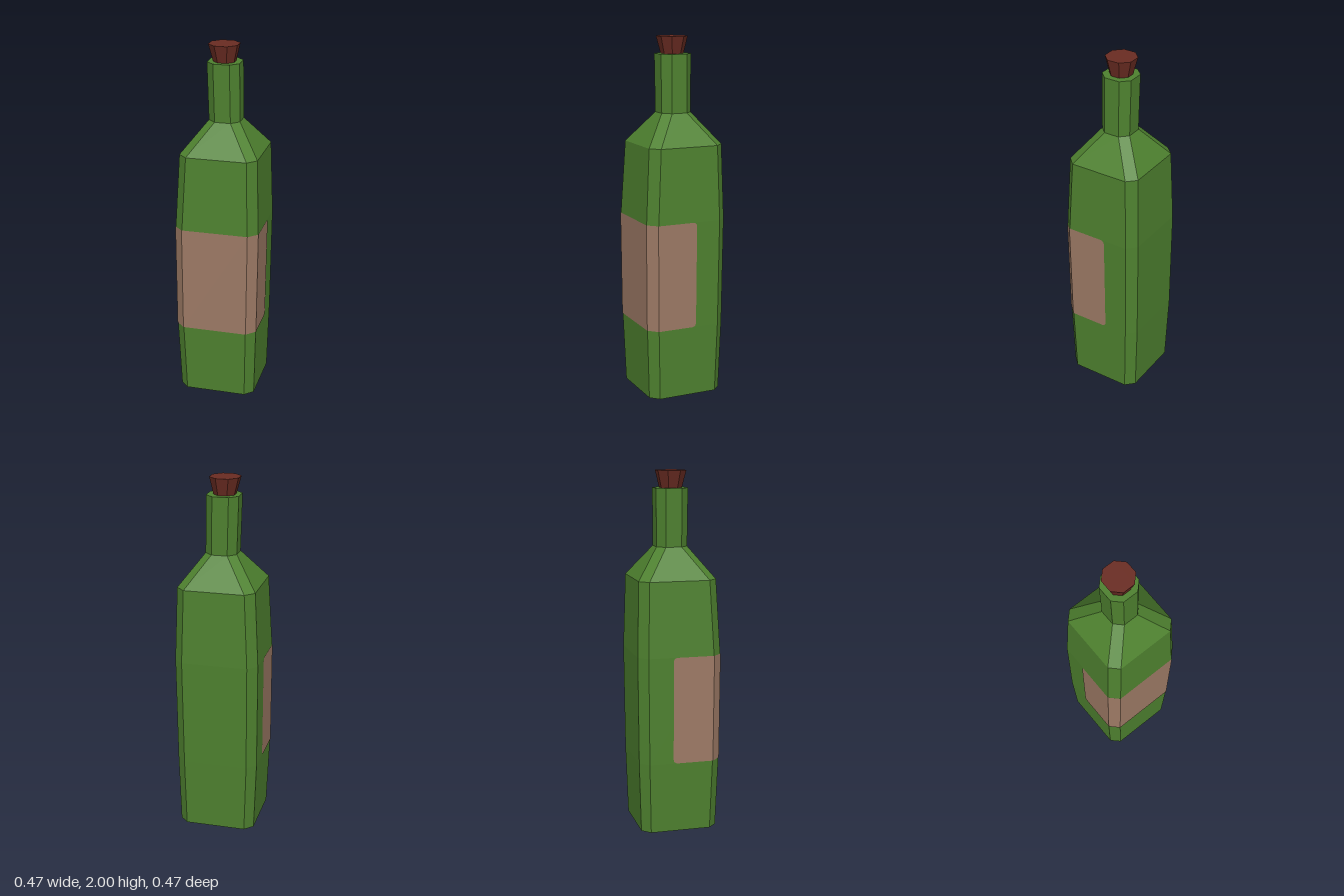
import * as THREE from 'three';

// Chamfered-square cross-section: y, half width, half flat length, centre x and z
const ring = (y, half, flat, cx = 0, cz = 0) => [
  [flat, half], [half, flat], [half, -flat], [flat, -half],
  [-flat, -half], [-half, -flat], [-half, flat], [-flat, half],
].map(([x, z]) => new THREE.Vector3(x + cx, y, z + cz));

function fromTriangles(points) {
  const geometry = new THREE.BufferGeometry().setFromPoints(points);
  geometry.computeVertexNormals();
  return geometry;
}

// Skin a stack of rings and close both ends
function loft(rings) {
  const points = [];
  const n = rings[0].length;
  for (let r = 0; r < rings.length - 1; r++) {
    for (let i = 0; i < n; i++) {
      const j = (i + 1) % n;
      const [a, b, c, d] = [rings[r][i], rings[r][j], rings[r + 1][j], rings[r + 1][i]];
      points.push(a, b, c, a, c, d);
    }
  }
  const bottom = rings[0];
  const top = rings[rings.length - 1];
  for (let i = 1; i < n - 1; i++) {
    points.push(bottom[0], bottom[i + 1], bottom[i], top[0], top[i], top[i + 1]);
  }
  return fromTriangles(points);
}

// Paper label wrapped over the front, the front chamfers and half of each side
function labelGeometry(low, high) {
  const lift = 0.002;
  const backZ = -0.045;
  const round = 0.022;
  const grow = (p) => new THREE.Vector3(
    p.x + Math.sign(p.x) * lift, p.y, p.z + Math.sign(p.z) * lift);
  const columns = [];
  // Columns with rounded end corners along one side
  const sideEnd = (front, back) => [0, 30, 60, 90].map((deg) => {
    const t = THREE.MathUtils.degToRad(deg);
    const z = backZ + round * (1 - Math.cos(t));
    const inset = round * (1 - Math.sin(t));
    const at = (r, dy) => {
      const a = grow(r[front]);
      const b = grow(r[back]);
      const p = a.clone().lerp(b, (z - a.z) / (b.z - a.z));
      p.y += dy;
      return p;
    };
    return [at(low, inset), at(high, -inset)];
  });
  columns.push(...sideEnd(6, 5));
  for (const i of [6, 7, 0, 1]) columns.push([grow(low[i]), grow(high[i])]);
  columns.push(...sideEnd(1, 2).reverse());

  const points = [];
  for (let i = 0; i < columns.length - 1; i++) {
    const [a, d] = columns[i];
    const [b, c] = columns[i + 1];
    points.push(a, b, c, a, c, d);
  }
  return fromTriangles(points);
}

export function createModel() {
  const flat = (name, color) => {
    const material = new THREE.MeshStandardMaterial({ color, flatShading: true });
    material.name = name;
    return material;
  };
  const glass = flat('green glass', 0x4e812f);
  const paper = flat('label paper', 0x9d7a65);
  const corkRed = flat('cork red brown', 0x6a2c22);

  const group = new THREE.Group();
  group.name = 'bottle';
  const add = (name, geometry, material) => {
    const mesh = new THREE.Mesh(geometry, material);
    mesh.name = name;
    group.add(mesh);
  };

  // Glass: base, belly, shoulder and neck
  const labelLow = ring(0.4, 0.229, 0.18, -0.003, 0);
  const labelHigh = ring(1.0, 0.234, 0.184, 0, 0);
  add('glassBody', loft([
    ring(0, 0.216, 0.17),
    labelLow,
    labelHigh,
    ring(1.415, 0.217, 0.168, 0.004, -0.005),
    ring(1.585, 0.087, 0.044, 0.007, -0.004),
    ring(1.905, 0.09, 0.045, 0, -0.005),
  ]), glass);

  add('label', labelGeometry(labelLow, labelHigh), paper);

  // Tapered octagonal cork
  add('cork', loft([
    ring(1.88, 0.052, 0.022, -0.002, -0.003),
    ring(2, 0.08, 0.035, -0.005, -0.003),
  ]), corkRed);

  return group;
}
